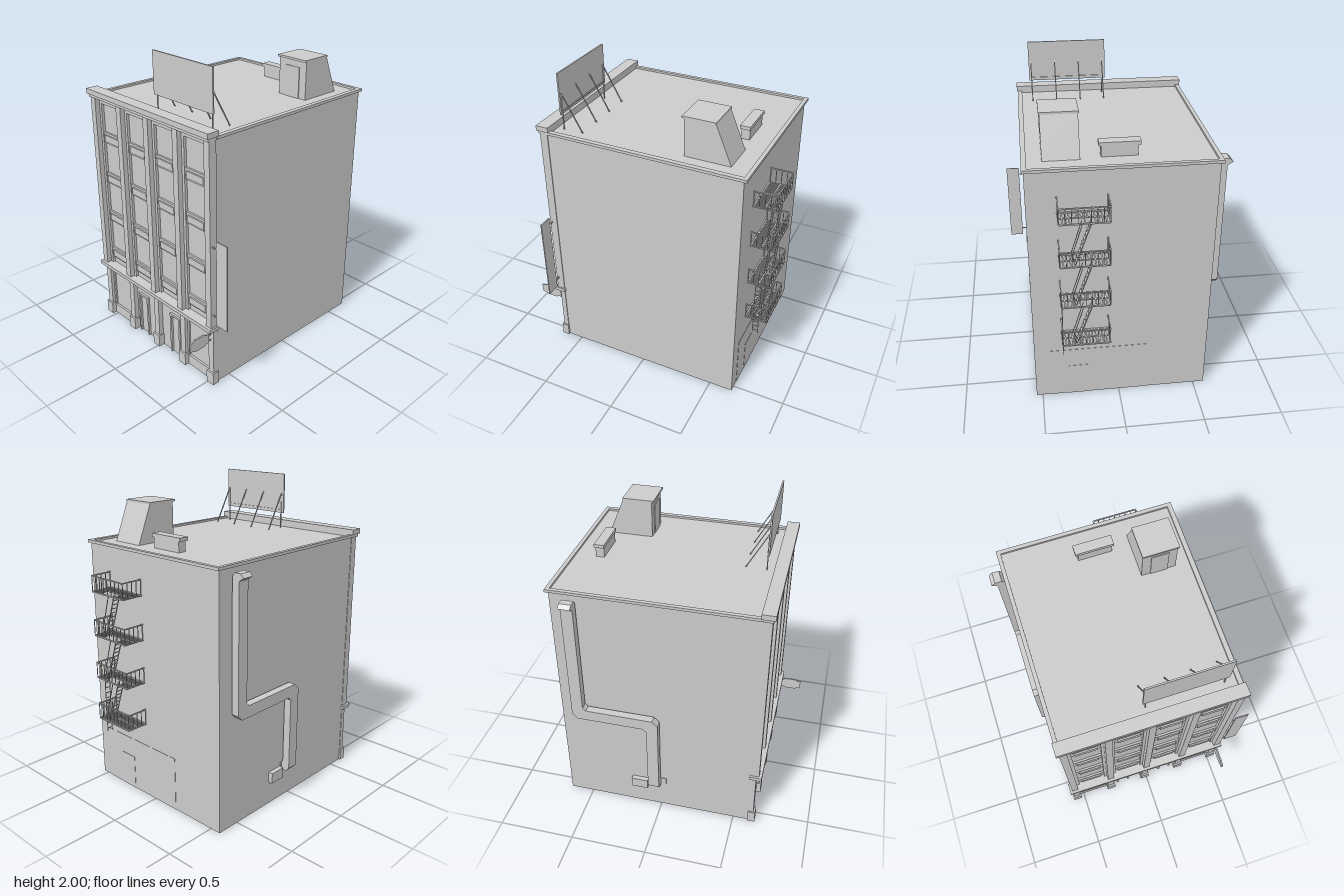
import * as THREE from 'three';

const mat = new THREE.MeshStandardMaterial({ color: 0xcccccc, side: THREE.DoubleSide, flatShading: true });

function add(parent, geo, name) {
  const m = new THREE.Mesh(geo, mat);
  m.name = name;
  parent.add(m);
  return m;
}

function part(parent, name) {
  const g = new THREE.Group();
  g.name = name;
  parent.add(g);
  return g;
}

// Box given by its limits on each axis
function box(parent, name, x0, x1, y0, y1, z0, z1) {
  const geo = new THREE.BoxGeometry(x1 - x0, y1 - y0, z1 - z0);
  geo.translate((x0 + x1) / 2, (y0 + y1) / 2, (z0 + z1) / 2);
  return add(parent, geo, name);
}

// Thin square bar between two points
function bar(parent, name, a, b, t = 0.005) {
  const p = new THREE.Vector3(...a), q = new THREE.Vector3(...b);
  const m = add(parent, new THREE.BoxGeometry(t, t, p.distanceTo(q)), name);
  m.position.copy(p).add(q).multiplyScalar(0.5);
  m.lookAt(q);
  return m;
}

function extrude(points, depth) {
  const shape = new THREE.Shape(points.map(p => new THREE.Vector2(...p)));
  return new THREE.ExtrudeGeometry(shape, { depth, bevelEnabled: false });
}

// Outline in (x, y), swept along z
function slabZ(parent, name, points, z0, z1) {
  return add(parent, extrude(points, z1 - z0).translate(0, 0, z0), name);
}

// Outline in (z, y), swept along x
function slabX(parent, name, points, x0, x1) {
  return add(parent, extrude(points, x1 - x0).rotateY(-Math.PI / 2).translate(x1, 0, 0), name);
}

function buildShell(root) {
  const g = part(root, 'building');
  // Walls and roof, open underneath
  const geo = new THREE.BoxGeometry(1.26, 1.632, 1.112).translate(0.026, 0.816, -0.016);
  const index = Array.from(geo.index.array);
  index.splice(18, 6);
  geo.setIndex(index);
  geo.clearGroups();
  add(g, geo, 'walls');
  // Roof edge
  box(g, 'roofEdgeFront', -0.6, 0.675, 1.627, 1.645, 0.52, 0.55);
  box(g, 'roofEdgeBack', -0.6, 0.675, 1.627, 1.645, -0.585, -0.56);
  box(g, 'roofEdgeRight', 0.65, 0.675, 1.627, 1.645, -0.56, 0.52);
  // Side entrance
  box(g, 'sidePanel', 0.655, 0.658, 0, 0.36, -0.19, 0.455);
  box(g, 'sideDoor', 0.657, 0.66, 0, 0.23, 0.2, 0.325);
}

function buildFacade(root) {
  const g = part(root, 'facade');
  box(g, 'cornice', -0.672, -0.59, 1.645, 1.678, -0.592, 0.555);
  box(g, 'corniceUnderside', -0.662, -0.59, 1.625, 1.645, -0.583, 0.547);
  box(g, 'ledge', -0.672, -0.595, 0.4, 0.425, -0.59, 0.555);
  const z0 = -0.575, pw = 0.045, pitch = (1.12 - pw) / 4;
  for (let i = 0; i < 5; i++) {
    const z = z0 + i * pitch;
    box(g, 'upperPilaster', -0.654, -0.602, 0.425, 1.627, z, z + pw);
    box(g, 'lowerPilaster', -0.636, -0.602, 0.08, 0.4, z, z + pw);
    box(g, 'pilasterBase', -0.648, -0.6, 0, 0.085, z - 0.008, z + pw + 0.008);
    if (i === 4) continue;
    const a = z + pw, b = z + pitch;
    // Upper bay: frame and one raised panel per storey
    box(g, 'bayTop', -0.622, -0.603, 1.585, 1.627, a, b);
    box(g, 'bayEdge', -0.622, -0.603, 0.425, 1.6, a, a + 0.02);
    box(g, 'bayEdge', -0.622, -0.603, 0.425, 1.6, b - 0.02, b);
    for (let f = 0; f < 4; f++) {
      const y = 0.47 + f * 0.283;
      box(g, 'spandrel', -0.616, -0.603, y, y + 0.075, a + 0.02, b - 0.02);
      box(g, 'spandrelPanel', -0.626, -0.61, y + 0.015, y + 0.06, a + 0.04, b - 0.04);
    }
    // Ground floor bay: doors in the middle bays, shop windows outside
    box(g, 'shopHead', -0.62, -0.603, 0.35, 0.4, a, b);
    if (i === 1 || i === 2) {
      const d = i === 1 ? a + 0.03 : b - 0.13;
      box(g, 'doorFrame', -0.618, -0.603, 0, 0.3, d, d + 0.015);
      box(g, 'doorFrame', -0.618, -0.603, 0, 0.3, d + 0.085, d + 0.1);
      box(g, 'doorLintel', -0.618, -0.603, 0.285, 0.3, d, d + 0.1);
    } else {
      box(g, 'shopSill', -0.618, -0.603, 0, 0.07, a, b);
      box(g, 'shopFrame', -0.614, -0.603, 0.07, 0.35, a, a + 0.015);
      box(g, 'shopFrame', -0.614, -0.603, 0.07, 0.35, b - 0.015, b);
    }
  }
}

function buildRoofItems(root) {
  // Stair hut with a sloping back
  const hut = part(root, 'stairHut');
  slabZ(hut, 'hutBody', [[0.25, 1.63], [0.54, 1.63], [0.44, 1.875], [0.25, 1.875]], 0.215, 0.433);
  box(hut, 'hutRoof', 0.236, 0.442, 1.872, 1.885, 0.21, 0.438);
  box(hut, 'hutDoor', 0.245, 0.252, 1.632, 1.83, 0.27, 0.38);

  const vent = part(root, 'roofVent');
  box(vent, 'ventBody', 0.465, 0.52, 1.63, 1.7, -0.12, 0.095);
  box(vent, 'ventLid', 0.46, 0.525, 1.7, 1.722, -0.135, 0.108);

  const bill = part(root, 'billboard');
  box(bill, 'billboardPanel', -0.551, -0.541, 1.735, 2, -0.05, 0.465);
  bar(bill, 'billboardBeam', [-0.538, 1.755, -0.04], [-0.538, 1.755, 0.455], 0.006);
  for (let i = 0; i < 4; i++) {
    const z = -0.03 + i * 0.16;
    bar(bill, 'billboardStrut', [-0.54, 1.87, z], [-0.41, 1.635, z], 0.006);
    if (i % 3 === 0) bar(bill, 'billboardPost', [-0.54, 1.63, z], [-0.54, 1.87, z], 0.006);
  }
}

function buildSigns(root) {
  const tall = part(root, 'tallSign');
  box(tall, 'tallSignPanel', -0.64, -0.633, 0.46, 1.03, 0.58, 0.67);
  for (const y of [0.515, 0.98]) bar(tall, 'tallSignBracket', [-0.636, y, 0.53], [-0.636, y, 0.585], 0.006);

  const small = part(root, 'smallSign');
  const half = [[-0.805, 0.03], [-0.78, 0.032], [-0.768, 0.042], [-0.69, 0.042], [-0.678, 0.032], [-0.655, 0.03]];
  const outline = [...half.map(([x, h]) => [x, 0.345 - h]), ...half.map(([x, h]) => [x, 0.345 + h]).reverse()];
  slabZ(small, 'smallSignPanel', outline, 0.515, 0.525);
  for (const y of [0.325, 0.365]) bar(small, 'smallSignBracket', [-0.66, y, 0.52], [-0.63, y, 0.52], 0.006);
}

function buildDuct(root) {
  const g = part(root, 'duct');
  // Flat stepped run down the back wall
  slabZ(g, 'ductRun', [
    [0.49, 1.55], [0.49, 0.82], [0.47, 0.8], [0.035, 0.8], [0, 0.765], [0, 0.26],
    [0.075, 0.26], [0.075, 0.705], [0.095, 0.725], [0.53, 0.725], [0.565, 0.76], [0.565, 1.55],
  ], -0.635, -0.585);
  // Outlet bend at the top and bend into the wall at the bottom
  slabX(g, 'ductOutlet', [
    [-0.635, 1.55], [-0.585, 1.55], [-0.585, 1.58], [-0.602, 1.603], [-0.645, 1.603],
    [-0.668, 1.58], [-0.638, 1.562],
  ], 0.49, 0.565);
  slabX(g, 'ductInlet', [
    [-0.635, 0.26], [-0.635, 0.225], [-0.612, 0.2], [-0.57, 0.2], [-0.57, 0.25], [-0.585, 0.26],
  ], 0, 0.075);
  box(g, 'inletPlate', -0.035, 0.085, 0.15, 0.25, -0.576, -0.57);
  box(g, 'wallUnit', 0.09, 0.2, 0.155, 0.225, -0.602, -0.57);
}

function buildFireEscape(root) {
  const g = part(root, 'fireEscape');
  const x0 = 0.656, x1 = 0.798, z0 = 0.072, z1 = 0.363, pitch = 0.283;
  for (let f = 0; f < 4; f++) {
    const y = 0.515 + f * pitch, top = y + 0.1;
    const p = part(g, 'platform');
    // Slatted floor, with a stair opening on the outer side
    for (const x of [x0 + 0.004, 0.727, x1]) bar(p, 'floorBeam', [x, y, z0], [x, y, z1], 0.008);
    for (let i = 0; i <= 14; i++) {
      const z = z0 + (z1 - z0) * i / 14;
      const open = f > 0 && z > 0.165 && z < 0.285;
      box(p, 'floorSlat', x0, open ? 0.727 : x1, y - 0.003, y + 0.003, z - 0.004, z + 0.004);
    }
    // Railing
    bar(p, 'frontRail', [x0, top, z1], [x1, top, z1], 0.007);
    bar(p, 'backRail', [x0, top, z0], [x1, top, z0], 0.007);
    bar(p, 'outerRail', [x1, top, z0], [x1, top, z1], 0.007);
    for (let i = 0; i <= 4; i++) {
      const x = x0 + 0.004 + (x1 - x0 - 0.004) * i / 4;
      for (const z of [z0, z1]) bar(p, 'baluster', [x, y, z], [x, top, z], 0.004);
    }
    for (let i = 1; i < 8; i++) {
      const z = z0 + (z1 - z0) * i / 8;
      bar(p, 'baluster', [x1, y, z], [x1, top, z], 0.004);
    }
    if (f === 3) continue;
    // Steep stair up to the next platform
    const s = part(g, 'stair');
    const zb = 0.275, zt = 0.175;
    for (const x of [0.74, 0.783]) {
      bar(s, 'stringer', [x, y, zb], [x, y + pitch, zt], 0.005);
      bar(s, 'handrail', [x, y + 0.06, zb + 0.02], [x, y + pitch - 0.01, zt + 0.055], 0.004);
      bar(s, 'handrailFoot', [x, y + 0.06, zb + 0.02], [x, y, zb], 0.004);
    }
    for (let i = 1; i < 10; i++) {
      const t = i / 10, z = zb + (zt - zb) * t, yy = y + pitch * t;
      box(s, 'tread', 0.74, 0.783, yy - 0.001, yy + 0.001, z - 0.004, z + 0.008);
    }
  }
  // Drop ladder below the lowest platform
  const ladder = part(g, 'dropLadder');
  for (const x of [0.71, 0.746]) bar(ladder, 'ladderRail', [x, 0.4, 0.358], [x, 0.79, 0.358], 0.004);
  for (let i = 0; i < 11; i++) {
    const y = 0.42 + i * 0.036;
    bar(ladder, 'rung', [0.71, y, 0.358], [0.746, y, 0.358], 0.004);
  }
}

export function createModel() {
  const root = new THREE.Group();
  root.name = 'cornerBuilding';
  buildShell(root);
  buildFacade(root);
  buildRoofItems(root);
  buildSigns(root);
  buildDuct(root);
  buildFireEscape(root);
  return root;
}
